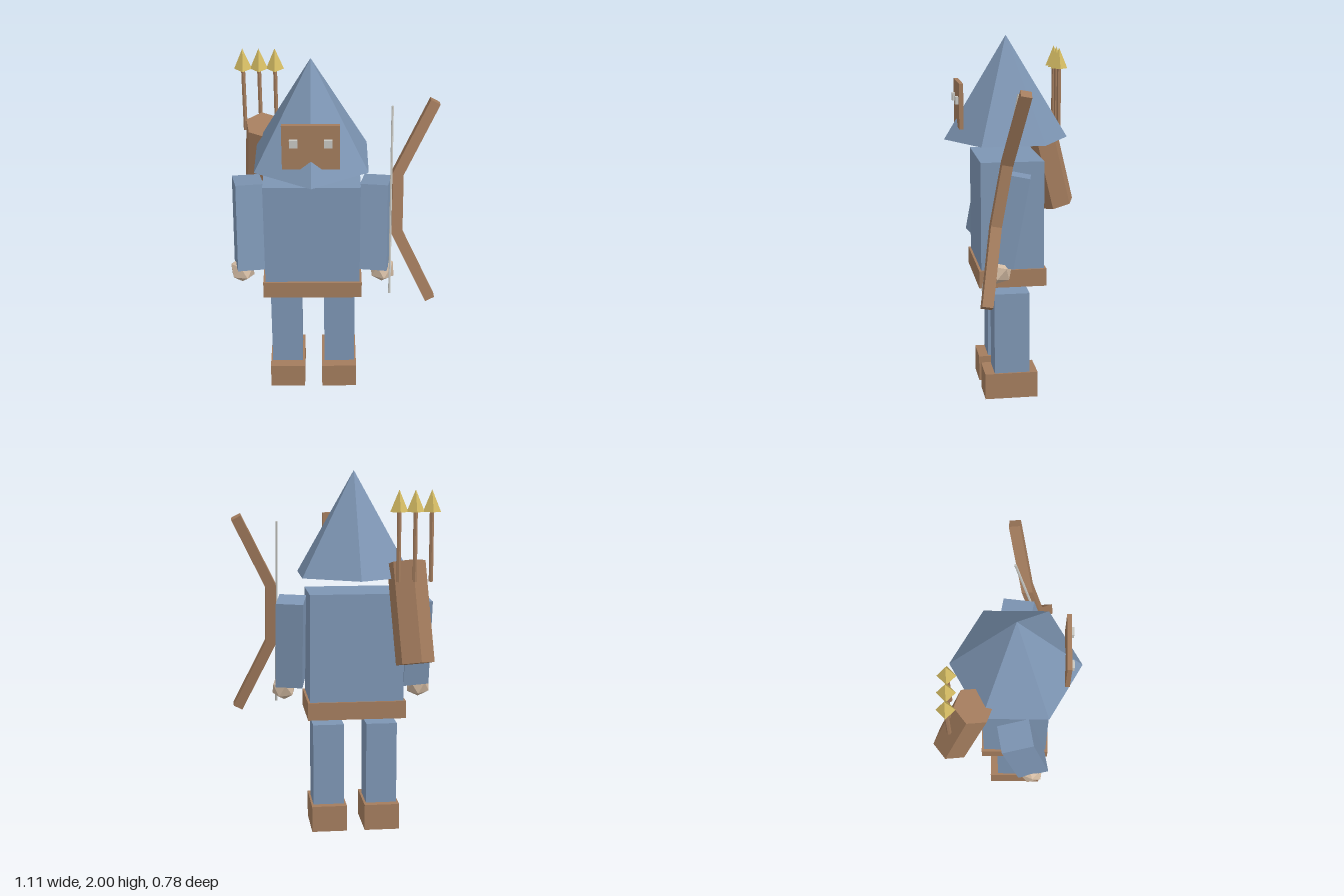
import * as THREE from 'three';

const mat = (name, color) => {
  const m = new THREE.MeshStandardMaterial({ color, flatShading: true });
  m.name = name;
  return m;
};

export function createModel() {
  const blue = mat('blueCloth', 0x7d95b3);
  const brown = mat('brownLeather', 0xa37c5d);
  const gold = mat('goldTip', 0xd6bd64);
  const tan = mat('tanSkin', 0xd2baa2);
  const grey = mat('paleGrey', 0xc6c6c1);

  const model = new THREE.Group();
  model.name = 'archer';
  const add = (name, geometry, material, x, y, z, parent = model) => {
    const mesh = new THREE.Mesh(geometry, material);
    mesh.name = name;
    mesh.position.set(x, y, z);
    parent.add(mesh);
    return mesh;
  };
  const box = (w, h, d) => new THREE.BoxGeometry(w, h, d);
  const CX = -0.11, CZ = 0.047, TILT = -0.183;

  // Body, belt and hood
  add('torso', box(0.515, 0.61, 0.345), blue, CX, 1.04, CZ);
  add('belt', box(0.54, 0.097, 0.37), brown, CX, 0.703, CZ);
  add('hood', new THREE.ConeGeometry(0.343, 0.565, 6), blue, CX, 1.7175, CZ);

  // Limbs, mirrored about the body centre
  for (const s of [-1, 1]) {
    const side = s > 0 ? 'left' : 'right';
    add(side + 'Leg', box(0.172, 0.46, 0.196), blue, CX + s * 0.149, 0.375, CZ);
    add(side + 'Boot', box(0.196, 0.146, 0.295), brown, CX + s * 0.148, 0.073, 0.052);
    const arm = add(side + 'Arm', box(0.15, 0.493, 0.17), blue, CX + s * 0.345, 1.055, 0.093);
    arm.rotation.set(TILT, s * TILT, 0);
    const hand = add(side + 'Hand', new THREE.IcosahedronGeometry(0.073), tan, CX + s * 0.385, 0.783, 0.14);
    hand.rotation.set(TILT, s * TILT, 0.5);
    add(side + 'Eye', box(0.042, 0.042, 0.018), grey, CX + s * 0.0875, 1.66, 0.326);
  }

  // Face mask with a notch in the lower edge
  const mask = new THREE.Shape([
    [-0.147, 1.51], [-0.055, 1.51], [0, 1.555], [0.055, 1.51],
    [0.147, 1.51], [0.147, 1.755], [-0.147, 1.755],
  ].map(([x, y]) => new THREE.Vector2(x, y)));
  add('mask', new THREE.ExtrudeGeometry(mask, { depth: 0.023, bevelEnabled: false }), brown, CX, 0, 0.296);

  // Bow: bent strip and straight string, leaning with the arm
  const bow = new THREE.Group();
  bow.name = 'bow';
  bow.position.set(0.345, 1.207, 0.136);
  bow.rotation.x = TILT;
  model.add(bow);
  const inner = [[-0.028, 0.173], [0.163, 0.57]];
  const outer = [[0.212, 0.544], [0.03, 0.163]];
  const upper = [...inner, ...outer];
  const lower = upper.map(([x, y]) => [x, -y]).reverse();
  const stave = new THREE.Shape([...upper, ...lower].map(([x, y]) => new THREE.Vector2(x, y)));
  add('bowStave', new THREE.ExtrudeGeometry(stave, { depth: 0.058, bevelEnabled: false }), brown, 0, 0, -0.029, bow);
  add('bowString', new THREE.CylinderGeometry(0.007, 0.007, 1.06, 6), grey, -0.033, 0, 0, bow);

  // Six-sided quiver slung across the back
  const bottom = new THREE.Vector3(-0.4, 0.992, -0.292);
  const top = new THREE.Vector3(-0.367, 1.52, -0.162);
  const axis = top.clone().sub(bottom);
  const mid = top.clone().add(bottom).multiplyScalar(0.5);
  const quiver = add('quiver', new THREE.CylinderGeometry(0.105, 0.105, axis.length(), 6), brown, mid.x, mid.y, mid.z);
  quiver.quaternion.setFromUnitVectors(new THREE.Vector3(0, 1, 0), axis.normalize());
  quiver.rotateY(0.17);

  // Three arrows standing at the quiver
  for (let i = -1; i <= 1; i++) {
    const x = -0.392 + i * 0.086;
    add('arrowShaft', new THREE.CylinderGeometry(0.012, 0.012, 0.37, 6), brown, x, 1.615, -0.286);
    add('arrowHead', new THREE.ConeGeometry(0.048, 0.116, 4), gold, x, 1.853, -0.286);
  }

  return model;
}
